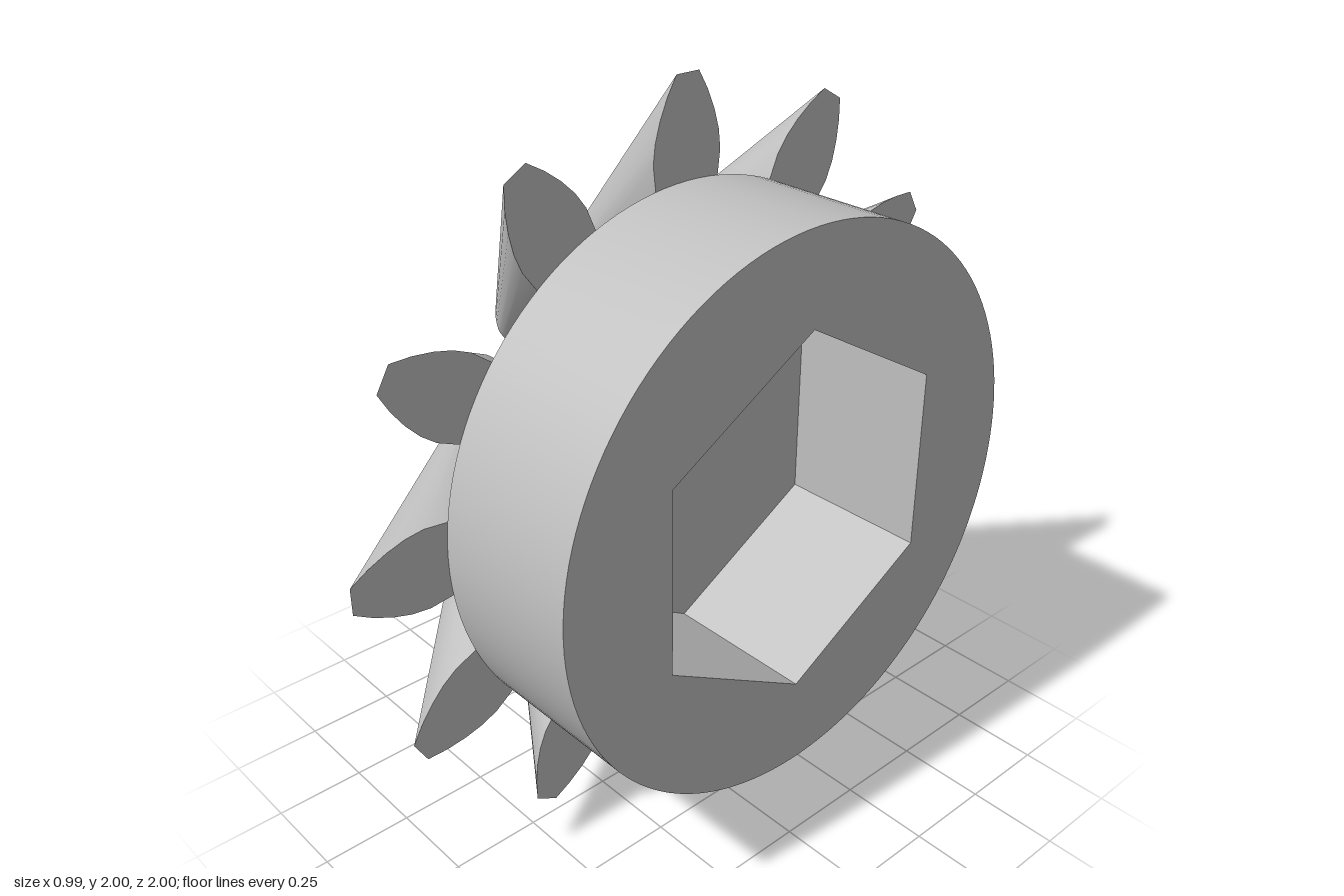
import * as THREE from 'three';
import { toCreasedNormals } from 'three/addons/utils/BufferGeometryUtils.js';

const TEETH = 12;
const X_SMALL = -0.498, X_BACK = 0.07, X_END = 0.495;

// Half tooth at the large end: [radius, half width], root to tip
const FLANK = [
  [0.67, 0.091], [0.74, 0.1], [0.8, 0.107], [0.85, 0.101],
  [0.9, 0.086], [0.95, 0.064], [0.999, 0.035],
];

function gearShape() {
  const points = [];
  for (let i = 0; i < TEETH; i++) {
    const a = (i / TEETH) * Math.PI * 2;
    const add = (r, w) => points.push(new THREE.Vector2(
      r * Math.cos(a) - w * Math.sin(a), r * Math.sin(a) + w * Math.cos(a)));
    FLANK.forEach(([r, w]) => add(r, -w));
    [...FLANK].reverse().forEach(([r, w]) => add(r, w));
  }
  return new THREE.Shape(points);
}

// Extrudes a profile along x between two positions, optionally tapering its start
function extrudeAlongX(shape, x0, x1, startScale = 1) {
  const depth = x1 - x0;
  const geo = new THREE.ExtrudeGeometry(shape, { depth, bevelEnabled: false, curveSegments: 64 });
  const p = geo.attributes.position;
  for (let i = 0; i < p.count; i++) {
    const s = THREE.MathUtils.lerp(startScale, 1, p.getZ(i) / depth);
    p.setXY(i, p.getX(i) * s, p.getY(i) * s);
  }
  geo.rotateY(Math.PI / 2);
  geo.translate(x0, 1, 0);
  return toCreasedNormals(geo, 0.4);
}

export function createModel() {
  const group = new THREE.Group();
  group.name = 'bevelGear';
  const metal = new THREE.MeshStandardMaterial({ color: 0xc0c0c0 });
  metal.name = 'light grey metal';

  // Tapered toothed cone
  const cone = new THREE.Mesh(extrudeAlongX(gearShape(), X_SMALL, X_BACK, 1 / 3), metal);
  cone.name = 'toothedCone';

  // Round hub with a hexagonal socket that ends at the cone's back face
  const disc = new THREE.Shape().absarc(0, 0, 0.743, 0, Math.PI * 2);
  const hexagon = [];
  for (let i = 0; i < 6; i++) {
    const a = Math.PI / 2 - (i * Math.PI) / 3;
    hexagon.push(new THREE.Vector2(0.497 * Math.cos(a), 0.497 * Math.sin(a)));
  }
  disc.holes.push(new THREE.Path(hexagon));
  const hub = new THREE.Mesh(extrudeAlongX(disc, X_BACK, X_END), metal);
  hub.name = 'hub';

  group.add(cone, hub);
  return group;
}
